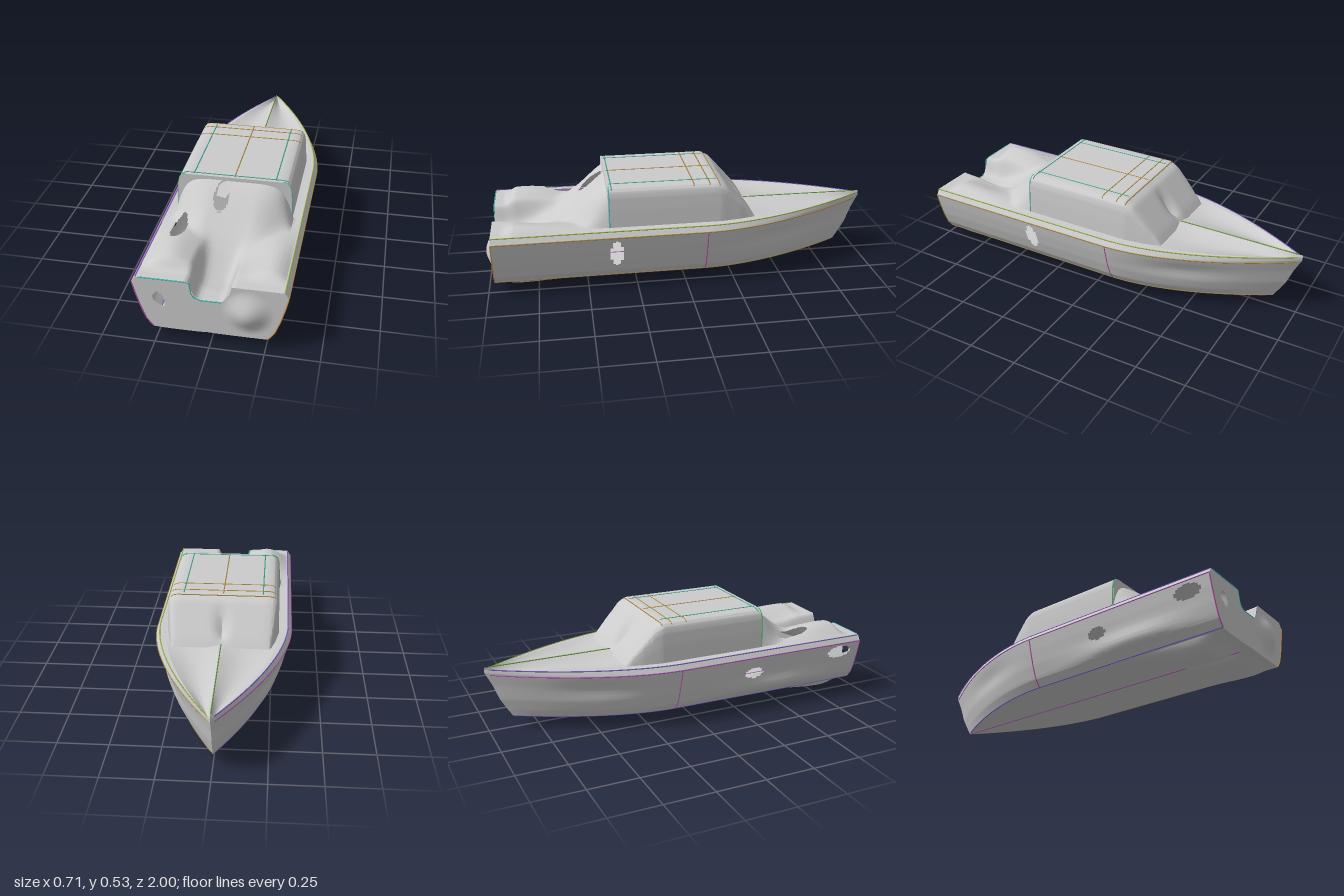
import * as THREE from 'three';
import { toCreasedNormals } from 'three/addons/utils/BufferGeometryUtils.js';

const { lerp, smoothstep } = THREE.MathUtils;
const STERN = 0.965;
const grey = new THREE.MeshStandardMaterial({ color: 0xcccccc, side: THREE.DoubleSide });
const bell = (v, c, r) => Math.exp(-(((v - c) / r) ** 2));
const mound = (v, c, r) => Math.sqrt(Math.max(0, 1 - ((v - c) / r) ** 2));
const inside = (a, b, ca, cb, ra, rb) => ((a - ca) / ra) ** 2 + ((b - cb) / rb) ** 2 < 1;
const steps = (n, f) => Array.from({ length: n + 1 }, (_, i) => f(i / n));
const flat = (pts) => pts.map((p) => new THREE.Vector2(...p));

// Surface from a rule f(u, v) -> [x, y, z]; cells whose middle meets skip() become openings
function surface(name, nu, nv, f, skip = () => false) {
  const pos = [], idx = [];
  for (let j = 0; j <= nv; j++) for (let i = 0; i <= nu; i++) pos.push(...f(i / nu, j / nv));
  for (let j = 0; j < nv; j++) for (let i = 0; i < nu; i++) {
    if (skip(...f((i + 0.5) / nu, (j + 0.5) / nv))) continue;
    const a = j * (nu + 1) + i, b = a + 1, c = a + nu + 1, d = c + 1;
    idx.push(a, c, b, b, c, d);
  }
  const g = new THREE.BufferGeometry();
  g.setAttribute('position', new THREE.Float32BufferAttribute(pos, 3));
  g.setIndex(idx);
  return mesh(name, toCreasedNormals(g, 0.6));
}

function mesh(name, geometry, material = grey) {
  const m = new THREE.Mesh(geometry, material);
  m.name = name;
  return m;
}

// Point at fraction t (0..1) along a polyline, equal share per segment
function along(pts, t) {
  const k = Math.min(t * (pts.length - 1), pts.length - 1 - 1e-9), i = Math.floor(k);
  return pts[i].map((v, n) => lerp(v, pts[i + 1][n], k - i));
}

// Piecewise-linear value from [key, value] rows with rising keys
function table(rows, k) {
  if (k <= rows[0][0]) return rows[0][1];
  for (let i = 1; i < rows.length; i++) {
    const [a, b] = [rows[i - 1], rows[i]];
    if (k <= b[0]) return lerp(a[1], b[1], (k - a[0]) / (b[0] - a[0]));
  }
  return rows[rows.length - 1][1];
}

// Plan taper towards the bow, and the raked stem
const taper = (z) => (z > -0.1 ? 1 : 1 - ((-z - 0.1) / 0.9) ** 1.75);
const stem = [[0.06, -0.875], [0.1, -0.9], [0.16, -0.935], [0.24, -0.965], [0.31, -1]];
const rake = (z, y) => (z > -0.1 ? z : -0.1 + (z + 0.1) * (table(stem, y) + 0.1) / -0.9);

// Two rounded swellings under the after part of the bottom, ending at the stern plate
const bottomY = (x, z) => 0.06
  - 0.06 * mound(x, -0.135, 0.115) * bell(z, 0.82, z > 0.82 ? 0.085 : 0.3)
  - 0.032 * mound(x, 0.13, 0.125) ** 0.7 * bell(z, 0.84, z > 0.84 ? 0.075 : 0.25);

const section = [[0, 0.06], [0.09, 0.06], [0.18, 0.06], [0.26, 0.06], [0.29, 0.1], [0.316, 0.17],
  [0.336, 0.24], [0.35, 0.3], [0.332, 0.328], [0.3, 0.328]];

function hullPoint(s, z) {
  let [x, y] = along(section, Math.abs(s));
  const level = y;
  x *= taper(z);
  if (s < 0) x = -x;
  if (Math.abs(s) <= 1 / 3) y = bottomY(x, z);
  else {
    // hollow bow flanks, and a long swelling low on the -x side
    x -= Math.sign(s) * 0.012 * bell(level, 0.22, 0.05) * bell(z, -0.5, 0.22);
    if (s < 0) x -= 0.026 * bell(level, 0.125, 0.045) * bell(z, 0.5, 0.28);
  }
  return [x, y, rake(z, level)];
}

function hull() {
  return surface('hull', 162, 150, (u, v) => hullPoint(u * 2 - 1, lerp(STERN, -1, v)), (x, y, z) =>
    (x > 0.2 && inside(z, y, 0.355, 0.205, 0.03, 0.075)) ||
    (x < -0.2 && (inside(z, y, 0.84, 0.25, 0.07, 0.035) || inside(z, y, 0.32, 0.21, 0.05, 0.03))));
}

// Flat stern plate with the splash notch, a ragged opening and a soft swelling
function transom() {
  const g = new THREE.Group();
  g.name = 'transom';
  g.position.z = STERN;
  const side = section.slice(4, 9);
  const notch = [[0.1, 0.328], [0.085, 0.27], [0.06, 0.238], [-0.055, 0.235], [-0.08, 0.255], [-0.09, 0.328]];
  const low = steps(40, (t) => lerp(-0.26, 0.26, t)).map((x) => [x, bottomY(x, STERN)]);
  const s = new THREE.Shape(flat([...low, ...side, ...notch, ...side.map(([x, y]) => [-x, y]).reverse()]));
  s.holes.push(new THREE.Path(flat([[-0.26, 0.235], [-0.24, 0.26], [-0.215, 0.25], [-0.203, 0.215],
    [-0.205, 0.18], [-0.235, 0.195], [-0.255, 0.21]])));
  g.add(mesh('sternPlate', new THREE.ShapeGeometry(s)));
  const swell = mesh('sternSwelling', new THREE.LatheGeometry(
    flat(steps(16, (t) => [t, 0.5 + 0.5 * Math.cos(Math.PI * t)])), 32));
  swell.rotation.x = Math.PI / 2;
  swell.scale.set(0.12, 0.035, 0.12);
  swell.position.set(0.17, 0.195, 0);
  g.add(swell);
  return g;
}

// Foredeck with a raised centre line and hollow sides
function foredeck() {
  return surface('foredeck', 32, 40, (u, v) => {
    const s = u * 2 - 1, z = lerp(0.4, -1, v), a = Math.abs(s);
    const y = 0.328 + 0.01 * (1 - a) - 0.024 * Math.sin(Math.PI * a) * smoothstep(-z, 0.2, 0.5);
    return [0.3 * s * taper(z), y, rake(z, 0.328)];
  });
}

// After deck sweeping down from the cabin, with side humps and a centre channel
function afterDeck() {
  const height = (x, z) => {
    const a = Math.abs(x);
    const fade = 1 - (a / 0.325) ** 8, aft = 1 - smoothstep(z, 0.85, 0.92);
    const reach = lerp(0.66, 0.54, smoothstep(a, 0.1, 0.28));
    const slope = 0.192 * Math.max(0, 1 - (a / 0.292) ** 10) * (1 - smoothstep(z, 0.34, reach));
    const humps = (0.058 * bell(x, -0.21, 0.12) + 0.036 * bell(x, 0.28, 0.11)) * bell(z, 0.8, 0.24) * aft;
    const valley = 0.03 * bell(x, 0.08, 0.12) * bell(z, 0.72, 0.14);
    const channel = 0.093 * Math.exp(-((x / 0.085) ** 6)) * smoothstep(z, 0.58, 0.86);
    return 0.329 + fade * (slope + humps - valley) - channel;
  };
  return surface('afterDeck', 96, 84, (u, v) => {
    const x = lerp(-0.325, 0.325, u), z = lerp(0.39, STERN, v);
    return [x, height(x, z), z];
  }, (x, y, z) => inside(x, z, -0.225, 0.6, 0.035, 0.1) || inside(x, y, -0.05, 0.46, 0.036, 0.05));
}

// Cabin shell: rounded arch lofted along z, front end falling as the windscreen
const arch = [[0.285, 0.32], [0.281, 0.42], [0.276, 0.485], [0.27, 0.508], [0.255, 0.523], [0.235, 0.528], [0.12, 0.528], [0, 0.528]];
const roofY = [[-0.36, 0.325], [-0.335, 0.36], [-0.25, 0.455], [-0.205, 0.505], [-0.16, 0.528]];
const cabinW = [[-0.36, 0.86], [-0.28, 0.94], [-0.18, 1]];
function cabinPoint(s, z) {
  const [x, y] = along(arch, 1 - Math.abs(s));
  const px = x * Math.sign(s) * table(cabinW, z);
  const k = (table(roofY, z) - 0.32) / 0.208;
  const groove = 0.04 * bell(px, 0, 0.025) * bell(z, -0.28, 0.05);
  return [px, 0.32 + (y - 0.32) * k - groove, z];
}

function cabin() {
  const g = new THREE.Group();
  g.name = 'cabin';
  g.add(surface('cabinShell', 70, 75, (u, v) => cabinPoint(u * 2 - 1, lerp(0.39, -0.36, v))));
  const back = new THREE.Shape(flat([...arch, ...arch.slice(0, -1).reverse().map(([x, y]) => [-x, y])]));
  back.holes.push(new THREE.Path(flat([[-0.09, 0.42], [-0.075, 0.48], [-0.05, 0.505], [-0.015, 0.508],
    [-0.012, 0.465], [-0.045, 0.41]])));
  const wall = mesh('cabinBack', new THREE.ShapeGeometry(back));
  wall.position.z = 0.39;
  g.add(wall);
  return g;
}

// Thin coloured line through a list of points
function trim(name, color, pts) {
  const path = new THREE.CurvePath();
  const v = pts.map((p) => new THREE.Vector3(...p));
  for (let i = 1; i < v.length; i++) path.add(new THREE.LineCurve3(v[i - 1], v[i]));
  return mesh(name, new THREE.TubeGeometry(path, 3 * v.length, 0.003, 5), new THREE.MeshStandardMaterial({ color }));
}

function trims() {
  const g = new THREE.Group();
  g.name = 'trimLines';
  for (const side of [-1, 1]) {
    const pick = (a, b) => (side < 0 ? a : b);
    const lengthwise = (s) => steps(36, (t) => hullPoint(side * s, lerp(STERN, -0.98, t)));
    const upright = (z) => steps(12, (t) => hullPoint(side * lerp(0.34, 7 / 9, t), z));
    g.add(trim('gunwaleRail', pick(0x7a5cc8, 0x9ab23c), lengthwise(8 / 9)));
    g.add(trim('rubbingLine', pick(0xb050b8, 0xb08a40), lengthwise(7 / 9)));
    g.add(trim('chineLine', pick(0x7a5cc8, 0xb08a40), lengthwise(0.34)));
    g.add(trim('hullSeam', 0xc050b0, upright(-0.1)));
    g.add(trim('sternCorner', pick(0xc050b0, 0xc8903c), upright(STERN)));
    g.add(trim('roofLine', 0x3ca890, [[side * 0.2, 0.528, 0.38], [side * 0.2, 0.528, -0.16]]));
    g.add(trim('cabinCorner', pick(0x50b870, 0x50c0c0), steps(14, (t) => cabinPoint(side * lerp(1, 0.3, t), 0.385))));
  }
  for (const z of [0.37, -0.04, -0.12, -0.17])
    g.add(trim('roofCrossLine', z > 0 ? 0x3ca890 : 0xb08a40, steps(20, (t) => cabinPoint(lerp(-0.5, 0.5, t), z))));
  g.add(trim('roofCentreLine', 0xb08a40, [[0, 0.528, 0.38], [0, 0.528, -0.16]]));
  g.add(trim('deckCentreLine', 0x6a9a3c, [[0, 0.339, -0.35], [0, 0.338, -0.98]]));
  g.add(trim('keelLine', 0xb050b8, [[0, 0.06, 0.9], [0, 0.06, -0.87]]));
  g.add(trim('notchEdge', 0x40c0b0, [[-0.32, 0.328, STERN], [-0.09, 0.328, STERN], [-0.08, 0.255, STERN],
    [-0.055, 0.236, STERN], [0.05, 0.238, STERN]]));
  return g;
}

export function createModel() {
  const boat = new THREE.Group();
  boat.name = 'cabinBoat';
  boat.add(hull(), transom(), foredeck(), afterDeck(), cabin(), trims());
  return boat;
}
